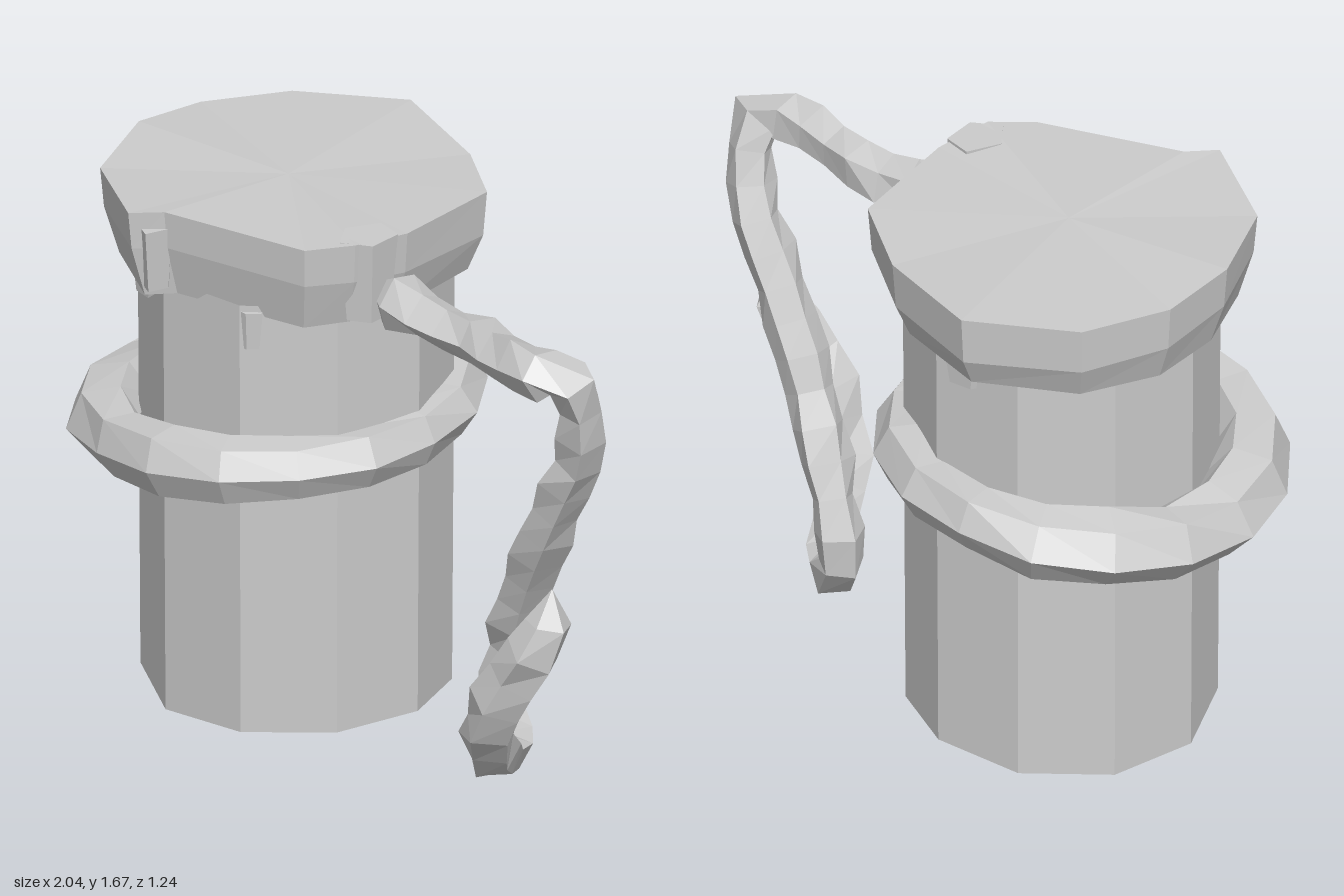
import * as THREE from 'three';

const mat = new THREE.MeshStandardMaterial({ color: 0xcccccc, flatShading: true, side: THREE.DoubleSide });
const CX = -0.35; // axis of the body

// small repeatable wobble for the hand-hewn facets
function seeded(seed) {
  return () => {
    seed = (seed * 16807) % 2147483647;
    return seed / 2147483647 - 0.5;
  };
}

function part(name, geometry) {
  const flat = geometry.index ? geometry.toNonIndexed() : geometry;
  flat.computeVertexNormals();
  const mesh = new THREE.Mesh(flat, mat);
  mesh.name = name;
  return mesh;
}

// skin over stacked closed rings (ordered upward, corners from +x toward +z), with both ends closed
function loft(rings) {
  const n = rings[0].length, pos = [], index = [];
  rings.forEach(r => r.forEach(p => pos.push(p.x, p.y, p.z)));
  for (let i = 0; i < rings.length - 1; i++) {
    for (let j = 0; j < n; j++) {
      const k = (j + 1) % n, a = i * n + j, b = i * n + k;
      index.push(a, a + n, b, b, a + n, b + n);
    }
  }
  [rings[0], rings[rings.length - 1]].forEach((r, end) => {
    const c = r.reduce((s, p) => s.add(p), new THREE.Vector3()).divideScalar(n);
    const ci = pos.length / 3, base = end ? (rings.length - 1) * n : 0;
    pos.push(c.x, c.y, c.z);
    for (let j = 0; j < n; j++) {
      const a = base + j, b = base + (j + 1) % n;
      if (end) index.push(ci, b, a); else index.push(ci, a, b);
    }
  });
  const g = new THREE.BufferGeometry();
  g.setAttribute('position', new THREE.Float32BufferAttribute(pos, 3));
  g.setIndex(index);
  return g;
}

// faceted tube whose thickness follows radiusAt(t) with a per-vertex wobble
function rope(curve, segments, sides, closed, radiusAt, wobble, seed) {
  const g = new THREE.TubeGeometry(curve, segments, 1, sides, closed);
  const p = g.attributes.position, rnd = seeded(seed), v = new THREE.Vector3();
  const noise = Array.from({ length: (segments + 1) * sides }, rnd);
  for (let i = 0; i <= segments; i++) {
    const t = i / segments, c = curve.getPointAt(t);
    const row = closed ? i % segments : i;
    for (let j = 0; j <= sides; j++) {
      const k = i * (sides + 1) + j;
      const r = radiusAt(t) * (1 + wobble * noise[row * sides + (j % sides)]);
      v.fromBufferAttribute(p, k).sub(c).multiplyScalar(r).add(c);
      p.setXYZ(k, v.x, v.y, v.z);
    }
  }
  return g;
}

function curveFrom(points, closed) {
  return new THREE.CatmullRomCurve3(points.map(p => new THREE.Vector3(...p)), closed, 'centripetal');
}

export function createModel() {
  const model = new THREE.Group();
  model.name = 'ringedCanister';

  // open-bottomed body, uneven lower rim
  const body = new THREE.CylinderGeometry(0.47, 0.462, 1.4, 10, 1, true, Math.PI / 10);
  body.translate(CX, 0.72, 0);
  const bp = body.attributes.position;
  for (let i = 0; i < bp.count; i++) {
    if (bp.getY(i) < 0.1) bp.setY(i, 0.02 + 0.012 * Math.sin(bp.getX(i) * 9 + bp.getZ(i) * 5));
    bp.setZ(i, bp.getZ(i) * 0.98 - 0.01);
  }
  model.add(part('body', body));

  // flared lid, cut straight across the front and overhanging at the back
  const rim = [
    [0.18, 0.12], [0.13, 0.3], [0.02, 0.4], [-0.44, 0.49], [-0.52, 0.56], [-0.8, 0.35], [-0.9, 0.05],
    [-0.87, -0.2], [-0.72, -0.44], [-0.4, -0.6], [-0.05, -0.45], [0.17, -0.26],
  ];
  const lidRing = (y, scale, tilt) => rim.map(([x, z], i) => new THREE.Vector3(
    CX + (x - CX) * scale, y + tilt * z + 0.01 * Math.sin(i * 2.3), z * scale));
  model.add(part('lid', loft([
    lidRing(1.39, 0.9, 0), lidRing(1.52, 0.98, 0.06), lidRing(1.655, 1, 0.03),
  ])));

  // lumps at the two front corners of the lid, and chips below its edge
  const lumps = [
    ['rightLump', -0.49, 1.52, 0.46, 0.1, 0.2, 0.16, 0.3],
    ['leftLump', 0.11, 1.54, 0.22, 0.13, 0.26, 0.16, -0.3],
    ['frontChip', -0.62, 1.36, 0.36, 0.14, 0.08, 0.06, -0.6],
    ['sideChip', -0.19, 1.34, 0.4, 0.08, 0.12, 0.05, 0.3],
    ['backChip', -0.3, 1.36, -0.44, 0.14, 0.1, 0.06, 0],
  ];
  for (const [name, x, y, z, w, h, d, turn] of lumps) {
    const g = new THREE.CylinderGeometry(0.6, 0.45, 1, 5, 1);
    g.scale(w, h, d);
    g.rotateY(turn);
    g.translate(x, y, z);
    model.add(part(name, g));
  }

  // loose ring around the body, lower and thicker on the -x side
  const loop = [];
  for (let i = 0; i < 12; i++) {
    const a = (i / 12) * Math.PI * 2, c = Math.cos(a), s = Math.sin(a);
    loop.push([-0.4 + 0.505 * c, 0.905 + 0.05 * c - 0.012 * s - 0.025 * c * c, 0.525 * s]);
  }
  model.add(part('ring', rope(curveFrom(loop, true), 16, 6, true,
    t => 0.103 - 0.01 * Math.cos(t * Math.PI * 2), 0.25, 11)));

  // thin arm reaching from the lid, folding down and ending in a hook
  const arm = curveFrom([
    [0.08, 1.49, 0.18], [0.2, 1.47, 0.18], [0.35, 1.445, 0.18], [0.6, 1.44, 0.22], [0.82, 1.46, 0.28],
    [0.89, 1.47, 0.27], [0.915, 1.38, 0.22], [0.885, 1.2, 0.17], [0.78, 0.98, 0.15], [0.66, 0.75, 0.11],
    [0.54, 0.5, 0.05], [0.46, 0.28, 0.0], [0.47, 0.12, 0.02], [0.57, 0.09, 0.14], [0.65, 0.16, 0.28],
    [0.73, 0.32, 0.41], [0.83, 0.51, 0.44], [0.93, 0.68, 0.41], [0.945, 0.83, 0.38],
  ], false);
  model.add(part('hookedArm', rope(arm, 32, 5, false, t => {
    if (t === 0 || t === 1) return 0.001;
    if (t < 0.06) return 0.095;
    return t > 0.8 ? 0.082 : 0.077;
  }, 0.45, 5)));

  return model;
}
